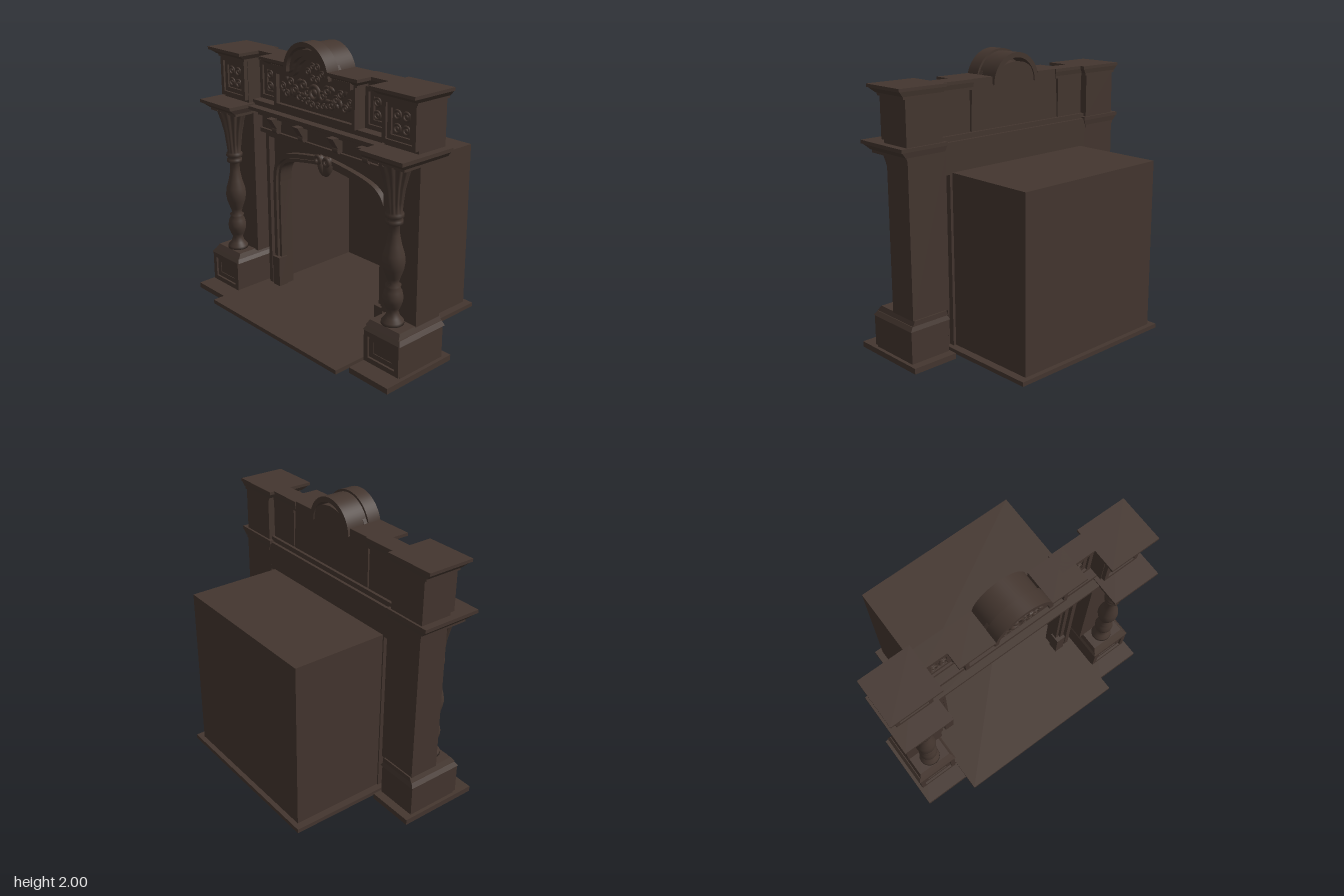
import * as THREE from 'three';
import { toCreasedNormals } from 'three/addons/utils/BufferGeometryUtils.js';

const wood = new THREE.MeshStandardMaterial({ color: 0x44362f, side: THREE.DoubleSide });
wood.name = 'dark brown wood';

export function createModel() {
  const model = new THREE.Group();
  model.name = 'fireplace';

  const add = (name, geometry, x = 0, y = 0, z = 0) => {
    const mesh = new THREE.Mesh(geometry, wood);
    mesh.name = name;
    mesh.position.set(x, y, z);
    model.add(mesh);
    return mesh;
  };

  // Box whose bottom and top rectangles [x0, x1, z0, z1] may differ
  const taper = (name, y0, y1, bottom, top = bottom) => {
    const g = new THREE.BoxGeometry(1, 1, 1);
    const p = g.attributes.position;
    for (let i = 0; i < p.count; i++) {
      const high = p.getY(i) > 0;
      const r = high ? top : bottom;
      p.setXYZ(i, p.getX(i) < 0 ? r[0] : r[1], high ? y1 : y0, p.getZ(i) < 0 ? r[2] : r[3]);
    }
    g.computeVertexNormals();
    return add(name, g);
  };

  // Stepped crown moulding growing from one rectangle to a wider one
  const cornice = (name, y0, y1, a, b) => {
    const h = y1 - y0;
    const mix = t => a.map((v, i) => v + (b[i] - v) * t);
    taper(name + 'Bed', y0, y0 + h * 0.25, mix(0.3));
    taper(name + 'Cove', y0 + h * 0.25, y0 + h * 0.7, mix(0.4), mix(0.9));
    taper(name + 'Shelf', y0 + h * 0.7, y1, b);
  };

  const extrude = (name, shape, z0, z1) => add(name, toCreasedNormals(
    new THREE.ExtrudeGeometry(shape, { depth: z1 - z0, bevelEnabled: false, curveSegments: 20 }), 0.6), 0, 0, z0);

  const rectPoints = (x0, x1, y0, y1) =>
    [[x0, y0], [x1, y0], [x1, y1], [x0, y1]].map(p => new THREE.Vector2(...p));

  // Two-step picture frame
  const frame = (name, x0, x1, y0, y1, z0, z1, border) => {
    for (const [b, z] of [[border * 0.5, z1], [border, (z0 + z1) / 2]]) {
      const s = new THREE.Shape(rectPoints(x0, x1, y0, y1));
      s.holes.push(new THREE.Path(rectPoints(x0 + b, x1 - b, y0 + b, y1 - b)));
      extrude(name, s, z0, z);
    }
  };

  // Flat band following a line, between two sideways offsets
  const band = (name, pts, from, to, z0, z1) => {
    const edge = d => pts.map((p, i) => {
      const t = pts[Math.min(i + 1, pts.length - 1)].clone().sub(pts[Math.max(i - 1, 0)]).normalize();
      return new THREE.Vector2(p.x - t.y * d, p.y + t.x * d);
    });
    extrude(name, new THREE.Shape([...edge(from), ...edge(to).reverse()]), z0, z1);
  };

  // Half outline, mirrored into a full left-to-right line
  const mirrorLine = half => [...half, ...half.slice(0, -1).reverse().map(p => new THREE.Vector2(-p.x, p.y))];
  const spline = pts => new THREE.SplineCurve(pts.map(p => new THREE.Vector2(...p))).getPoints(24);

  const rosette = (x, y, z, r) => {
    add('rosetteRing', new THREE.TorusGeometry(r, r * 0.28, 8, 20), x, y, z);
    add('rosetteBud', new THREE.SphereGeometry(r * 0.5, 12, 8), x, y, z).scale.z = 0.6;
  };
  const rosettes = (x, y, z) => {
    for (const i of [-1, 1]) for (const j of [-1, 1]) rosette(x + i * 0.037, y + j * 0.042, z, 0.026);
  };

  // Hearth and hollow firebox
  taper('hearth', 0.03, 0.06, [-0.66, 0.655, -0.675, 0.67]);
  taper('fireboxBack', 0.06, 1.26, [-0.61, 0.6, -0.64, -0.63]);
  taper('fireboxTop', 1.25, 1.26, [-0.61, 0.6, -0.64, 0.05]);
  taper('fireboxLeftWall', 0.06, 1.25, [0.59, 0.6, -0.63, 0.05]);
  taper('fireboxRightWall', 0.06, 1.25, [-0.61, -0.6, -0.63, 0.05]);

  // Arched surround and its mouldings
  const arch = mirrorLine([new THREE.Vector2(-0.51, 0.06),
    ...spline([[-0.51, 0.88], [-0.495, 0.98], [-0.45, 1.04], [-0.36, 1.075], [-0.2, 1.105], [0, 1.13]])]);
  const wall = new THREE.Shape(rectPoints(-0.62, 0.62, 0.04, 1.26));
  wall.holes.push(new THREE.Path(arch));
  extrude('surround', wall, 0.04, 0.12);
  band('archInnerMoulding', arch, 0, 0.022, 0.1, 0.145);
  band('archOuterMoulding', arch, 0.03, 0.062, 0.1, 0.16);
  for (const s of [-1, 1]) {
    const span = (a, b) => [Math.min(s * a, s * b), Math.max(s * a, s * b)];
    taper('archFoot', 0.06, 0.29, [...span(0.5, 0.575), 0.1, 0.18]);
    taper('surroundStrip', 0.06, 1.25, [...span(0.595, 0.63), 0.08, 0.17]);
    // Keystone scroll halves
    const lobe = add('keystoneScroll', new THREE.SphereGeometry(0.04, 16, 12), s * 0.028, 1.135, 0.16);
    lobe.scale.set(0.8, 1.9, 0.9);
    lobe.rotation.z = -s * 0.28;
    add('keystoneCurl', new THREE.TorusGeometry(0.025, 0.012, 8, 16), s * 0.042, 1.18, 0.19);
  }
  taper('surroundHeadStrip', 1.22, 1.25, [-0.63, 0.63, 0.08, 0.17]);

  // Frieze with corbels, and the lower shelf
  taper('frieze', 1.25, 1.4, [-0.66, 0.66, 0.04, 0.18]);
  taper('friezeLedge', 1.25, 1.28, [-0.66, 0.66, 0.1, 0.2]);
  for (const x of [-0.465, -0.185, 0.165, 0.445]) {
    taper('corbel', 1.3, 1.39, [x - 0.025, x + 0.025, 0.17, 0.21], [x - 0.03, x + 0.03, 0.17, 0.27]);
    add('corbelScroll', new THREE.CylinderGeometry(0.025, 0.025, 0.05, 16), x, 1.3, 0.2).rotation.z = Math.PI / 2;
  }
  cornice('lowerShelf', 1.38, 1.46, [-0.66, 0.66, 0.04, 0.18], [-0.66, 0.66, 0.04, 0.31]);
  taper('panelBase', 1.46, 1.495, [-0.66, 0.66, 0.06, 0.25]);

  // Turned column profile: radius, height
  const profile = [[0, 0.335], [0.075, 0.335], [0.072, 0.355], [0.05, 0.38], [0.035, 0.42], [0.05, 0.45], [0.064, 0.49],
    [0.066, 0.52], [0.058, 0.56], [0.045, 0.585], [0.052, 0.6], [0.034, 0.615], [0.045, 0.65], [0.066, 0.71],
    [0.074, 0.76], [0.068, 0.81], [0.05, 0.87], [0.036, 0.94], [0.034, 1.0], [0.055, 1.015], [0.055, 1.035],
    [0.042, 1.045], [0.06, 1.06], [0.058, 1.08], [0.048, 1.09], [0.05, 1.15], [0.06, 1.24], [0.08, 1.33], [0.1, 1.4]];
  const columnGeometry = new THREE.LatheGeometry(profile.map(p => new THREE.Vector2(...p)), 64);
  const pos = columnGeometry.attributes.position;
  for (let i = 0; i < pos.count; i++) {
    if (pos.getY(i) < 1.1) continue; // flutes on the flared capital only
    const k = 1 + 0.11 * Math.cos(12 * Math.atan2(pos.getZ(i), pos.getX(i)));
    pos.setX(i, pos.getX(i) * k);
    pos.setZ(i, pos.getZ(i) * k);
  }
  columnGeometry.computeVertexNormals();

  // Side piers, mirrored
  for (const s of [-1, 1]) {
    const span = (a, b) => [Math.min(s * a, s * b), Math.max(s * a, s * b)];
    taper('foot', 0, 0.04, [...span(0.66, 1), -0.03, 0.56]);
    taper('pedestal', 0.04, 0.27, [...span(0.67, 0.975), 0.03, 0.42]);
    frame('pedestalFrame', ...span(0.67, 0.975), 0.05, 0.27, 0.41, 0.44, 0.07);
    taper('pedestalMoulding', 0.27, 0.3, [...span(0.66, 0.985), 0.02, 0.44], [...span(0.68, 0.965), 0.03, 0.42]);
    taper('pedestalCap', 0.3, 0.335, [...span(0.67, 0.96), 0.03, 0.425], [...span(0.685, 0.945), 0.03, 0.4]);
    taper('pilaster', 0.33, 1.4, [...span(0.65, 0.95), 0.04, 0.26]);
    add('turnedColumn', columnGeometry, s * 0.81, 0, 0.325);
    cornice('capital', 1.39, 1.47, [...span(0.67, 0.94), 0.04, 0.38], [...span(0.64, 1), 0.03, 0.47]);
    taper('cornerBlock', 1.47, 1.79, [...span(0.67, 0.95), 0.045, 0.28]);
    frame('cornerFrame', ...span(0.675, 0.95), 1.49, 1.775, 0.28, 0.31, 0.06);
    rosettes(s * 0.815, 1.635, 0.285);
    cornice('cornerCap', 1.77, 1.84, [...span(0.67, 0.95), 0.045, 0.29], [...span(0.63, 1), 0.035, 0.38]);
    // Small square panel between pier and centre
    taper('sidePanel', 1.49, 1.78, [...span(0.41, 0.65), 0.08, 0.16]);
    frame('sideFrame', ...span(0.41, 0.65), 1.5, 1.77, 0.16, 0.19, 0.06);
    rosettes(s * 0.53, 1.635, 0.165);
    cornice('sideCornice', 1.77, 1.84, [...span(0.38, 0.65), 0.08, 0.16], [...span(0.38, 0.65), 0.07, 0.21]);
    cornice('centreCornice', 1.77, 1.84, [...span(0.21, 0.4), 0.08, 0.25], [...span(0.21, 0.48), 0.08, 0.33]);
  }

  // Arched centre panel
  const crown = mirrorLine([new THREE.Vector2(-0.39, 1.775),
    ...spline([[-0.25, 1.775], [-0.21, 1.785], [-0.185, 1.82], [-0.15, 1.87], [-0.085, 1.91], [0, 1.925]])]);
  extrude('centrePanel', new THREE.Shape([new THREE.Vector2(-0.4, 1.49), ...crown, new THREE.Vector2(0.4, 1.49)]), 0.08, 0.24);
  band('crownInnerMoulding', crown, -0.045, -0.02, 0.23, 0.27);
  band('crownOuterMoulding', crown, -0.02, 0.025, 0.2, 0.3);
  taper('centreFrameBottom', 1.495, 1.525, [-0.4, 0.4, 0.23, 0.27]);
  for (const x of [-0.385, 0.385]) taper('centreFrameSide', 1.495, 1.775, [x - 0.015, x + 0.015, 0.23, 0.27]);

  // Rounded hood
  const arc = r => Array.from({ length: 33 }, (_, i) => {
    const a = Math.PI * (1 - i / 32);
    return new THREE.Vector2(r * Math.cos(a), 1.78 + r * Math.sin(a));
  });
  band('hoodFront', arc(0.19), 0, 0.03, 0.23, 0.33);
  band('hoodBack', arc(0.17), 0, 0.035, 0.07, 0.23);

  // Carved fruit and scrolls, spreading out from the middle
  rosette(0, 1.66, 0.25, 0.045);
  for (const s of [-1, 1]) {
    for (let i = 0; i < 7; i++) {
      const x = s * (0.075 + i * 0.042);
      rosette(x, 1.65 + 0.05 * Math.sin(i * 2.1), 0.245, 0.028 - i * 0.001);
      const leaf = add('carvedLeaf', new THREE.SphereGeometry(0.03, 12, 8), x, 1.65 - 0.06 * Math.sin(i * 2.1 + 0.6), 0.24);
      leaf.scale.set(1, 0.5, 0.5);
      leaf.rotation.z = s * (0.6 - i * 0.5);
    }
    for (let i = 0; i < 3; i++) rosette(s * 0.045 * (i % 2 + 0.5), 1.75 + i * 0.04, 0.245, 0.02);
    for (let i = 0; i < 3; i++) rosette(s * (0.03 + i * 0.045), 1.575 + i * 0.01, 0.245, 0.02);
  }
  return model;
}
